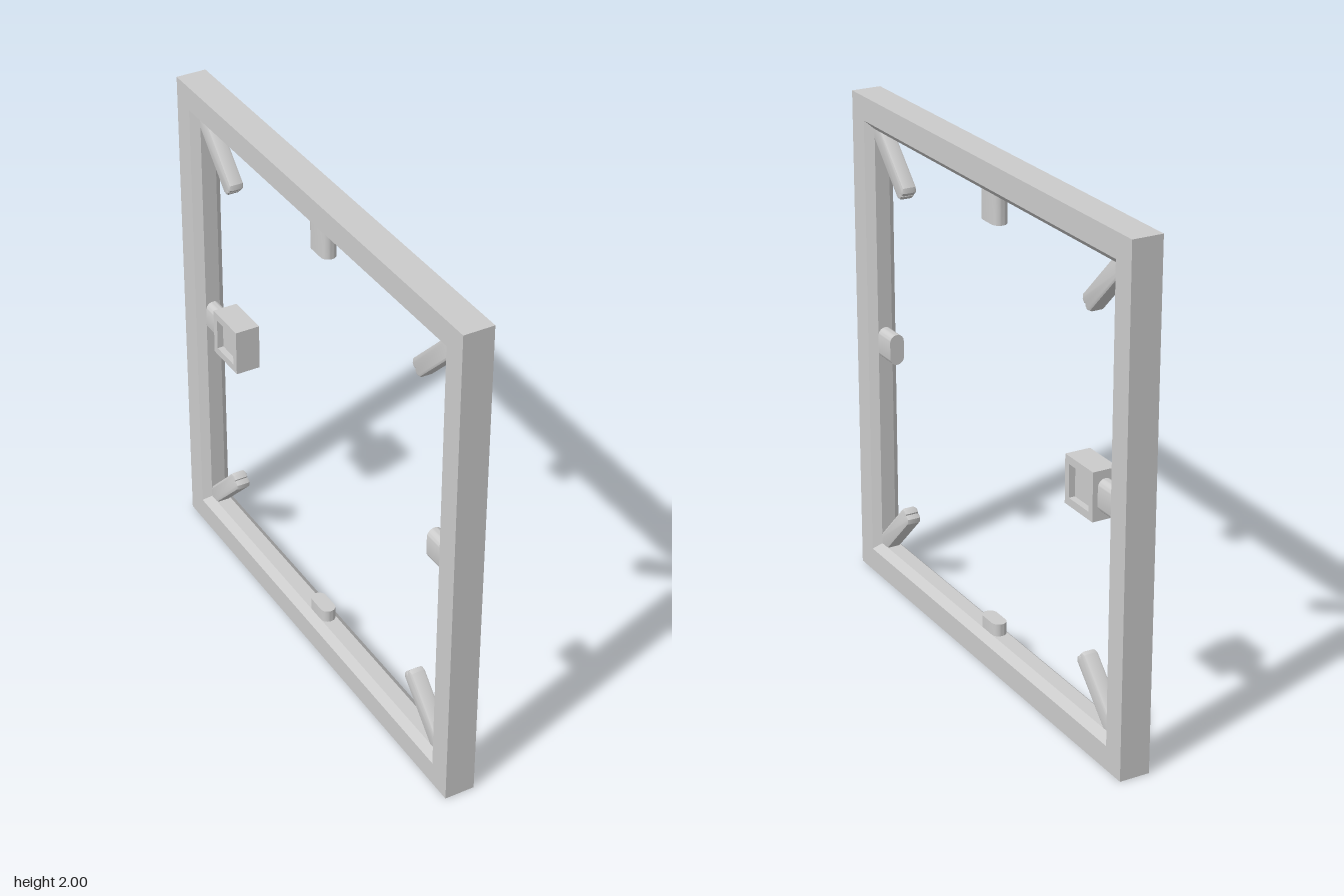
import * as THREE from 'three';
import { toCreasedNormals } from 'three/addons/utils/BufferGeometryUtils.js';

const material = new THREE.MeshStandardMaterial({ color: 0xcccccc });

function addMesh(parent, name, geometry, position = [0, 0, 0]) {
  const mesh = new THREE.Mesh(toCreasedNormals(geometry, 0.5), material);
  mesh.name = name;
  mesh.position.set(...position);
  parent.add(mesh);
  return mesh;
}

// Square path centred on (0, 0)
function square(PathType, w, h) {
  const p = new PathType();
  p.moveTo(-w, -h);
  p.lineTo(w, -h);
  p.lineTo(w, h);
  p.lineTo(-w, h);
  p.closePath();
  return p;
}

// Peg along +z with a rounded section: 0.125 wide in y, 0.06 thick in x
function pegGeometry(length) {
  const r = 0.03, half = 0.0325;
  const s = new THREE.Shape();
  s.moveTo(-half, -r);
  s.lineTo(half, -r);
  s.absarc(half, 0, r, -Math.PI / 2, Math.PI / 2, false);
  s.lineTo(-half, r);
  s.absarc(-half, 0, r, Math.PI / 2, Math.PI * 1.5, false);
  return new THREE.ExtrudeGeometry(s, { depth: length, bevelEnabled: false, curveSegments: 8 })
    .rotateZ(Math.PI / 2);
}

// Flat corner bar along +z with a notched tip
function braceGeometry(length) {
  const pts = [[-0.02, -0.025], [length - 0.02, -0.025], [length - 0.01, -0.017], [length - 0.01, -0.008],
    [length - 0.02, 0], [length - 0.01, 0.008], [length - 0.01, 0.017], [length - 0.02, 0.025], [-0.02, 0.025]];
  const s = new THREE.Shape(pts.map(([x, y]) => new THREE.Vector2(x, y)));
  return new THREE.ExtrudeGeometry(s, {
    depth: 0.04, bevelSize: 0.01, bevelThickness: 0.01, bevelSegments: 2,
  }).translate(0, 0, -0.02).rotateY(-Math.PI / 2);
}

export function createModel() {
  const model = new THREE.Group();
  model.name = 'squareFrame';

  // Frame: mitred square ring with chamfered inner edges
  const profile = [[1, -0.06], [1, 0.06], [0.905, 0.06], [0.875, 0.03], [0.875, -0.03], [0.905, -0.06], [1, -0.06]]
    .map(([r, y]) => new THREE.Vector2(r * Math.SQRT2, y));
  const ring = new THREE.LatheGeometry(profile, 4, Math.PI / 4).rotateZ(-Math.PI / 2);
  addMesh(model, 'frame', ring, [0, 1, 0]);

  // Pegs at the middle of each side, pointing inward
  const wall = 0.88;
  const pegs = [
    ['topPeg', 0.12, [0, 1 + wall, 0], Math.PI / 2],
    ['bottomPeg', 0.055, [0, 1 - wall, 0], -Math.PI / 2],
    ['frontPeg', 0.105, [0, 1, wall], Math.PI],
    ['backPeg', 0.12, [0, 1, -wall], 0],
  ];
  for (const [name, length, position, angle] of pegs) {
    addMesh(model, name, pegGeometry(length), position).rotation.x = angle;
  }

  // Diagonal bars from the four corners
  for (const sy of [1, -1]) {
    for (const sz of [1, -1]) {
      const bar = addMesh(model, 'cornerBar', braceGeometry(0.3), [0, 1 + sy * 0.875, sz * 0.875]);
      bar.rotation.x = Math.atan2(sy, -sz);
    }
  }

  // Latch box on the back peg, recessed on both faces
  const latch = new THREE.Group();
  latch.name = 'latchBox';
  latch.position.set(0, 1, -0.68);
  model.add(latch);
  const rim = square(THREE.Shape, 0.092, 0.094);
  rim.holes.push(square(THREE.Path, 0.065, 0.064));
  addMesh(latch, 'latchRim', new THREE.ExtrudeGeometry(rim, { depth: 0.1, bevelEnabled: false })
    .translate(0, 0, -0.05).rotateY(Math.PI / 2));
  addMesh(latch, 'latchPanel', new THREE.BoxGeometry(0.05, 0.14, 0.14));

  return model;
}
